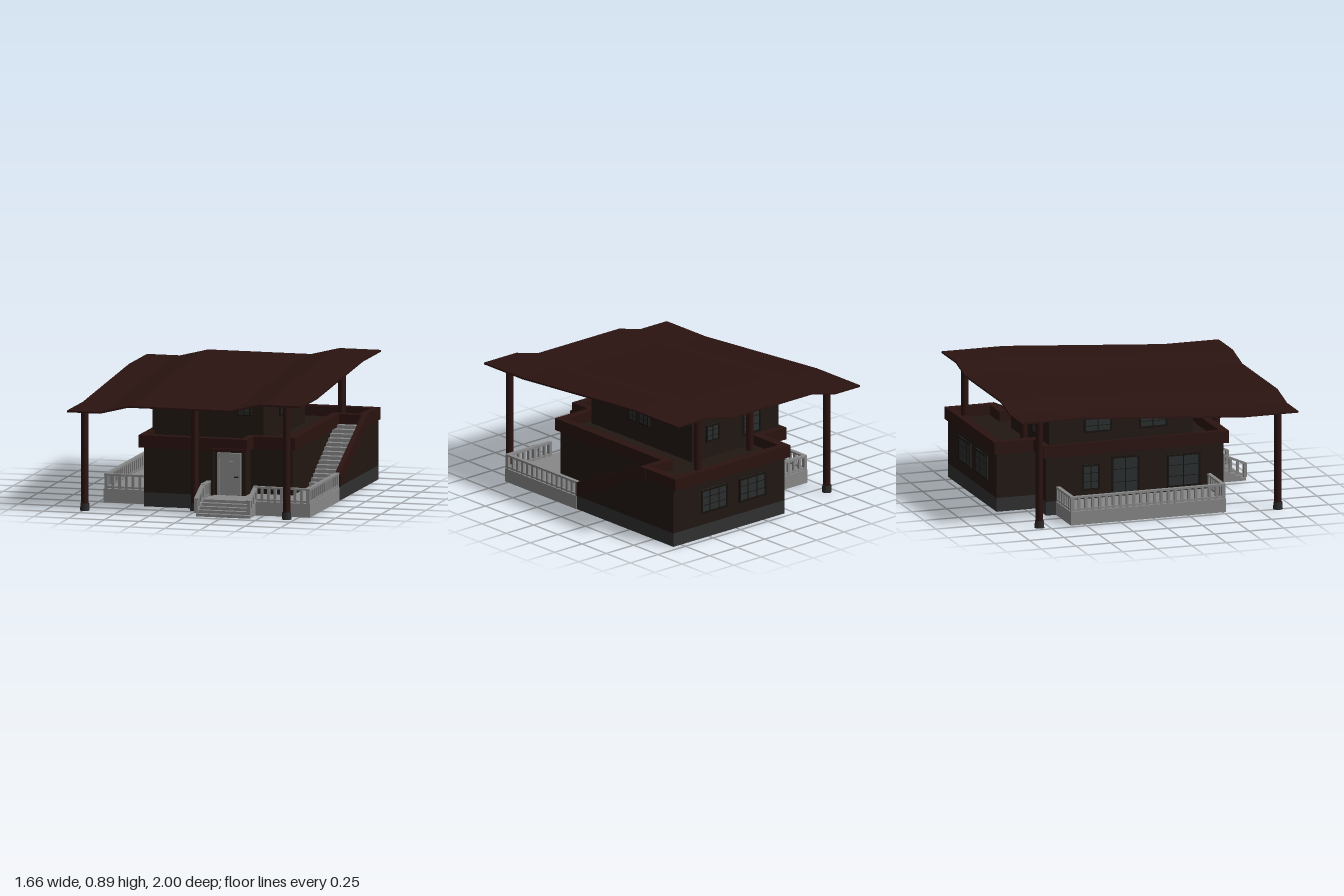
import * as THREE from 'three';

const mat = (color) => new THREE.MeshStandardMaterial({ color, flatShading: true });
const M = {
  timber: mat(0x2a1310), wall: mat(0x211712), plinth: mat(0x303030), stone: mat(0x888888),
  foot: mat(0x2a2a2a), frame: mat(0x16110d), glass: mat(0x2a2e2e), handle: mat(0x222222),
};

function add(parent, name, geo, material, x = 0, y = 0, z = 0) {
  const m = new THREE.Mesh(geo, material);
  m.name = name;
  m.position.set(x, y, z);
  parent.add(m);
  return m;
}

// Box given by its minimum and maximum corners
function block(parent, name, material, [x0, y0, z0], [x1, y1, z1]) {
  return add(parent, name, new THREE.BoxGeometry(x1 - x0, y1 - y0, z1 - z0), material,
    (x0 + x1) / 2, (y0 + y1) / 2, (z0 + z1) / 2);
}

// Upright prism over an (x, z) plan, optionally with a hole
function prism(parent, name, material, plan, y0, y1, hole) {
  const pts = (p) => p.map(([x, z]) => new THREE.Vector2(x, -z));
  const shape = new THREE.Shape(pts(plan));
  if (hole) shape.holes.push(new THREE.Path(pts(hole)));
  const geo = new THREE.ExtrudeGeometry(shape, { depth: y1 - y0, bevelEnabled: false });
  geo.rotateX(-Math.PI / 2);
  return add(parent, name, geo, material, 0, y0, 0);
}

// Plate with a (z, y) outline, spanning x0..x1
function sidePlate(parent, name, material, outline, x0, x1) {
  const shape = new THREE.Shape(outline.map(([z, y]) => new THREE.Vector2(-z, y)));
  const geo = new THREE.ExtrudeGeometry(shape, { depth: x1 - x0, bevelEnabled: false });
  geo.rotateY(Math.PI / 2);
  return add(parent, name, geo, material, x0, 0, 0);
}

// Roof underside: folds across x plus a slope along z
const RX = [-0.835, -0.6, -0.4, 0.33, 0.53, 0.825], RXY = [0, 0, 0.05, 0.05, 0.1, 0.1];
const RZ = [-1, -0.55, 0.6, 1], RZY = [0.085, 0.085, 0, 0];
function lerpTable(xs, ys, v) {
  let i = 0;
  while (i < xs.length - 2 && v > xs[i + 1]) i++;
  return ys[i] + ((ys[i + 1] - ys[i]) * (v - xs[i])) / (xs[i + 1] - xs[i]);
}
const roofY = (x, z) => 0.69 + lerpTable(RX, RXY, x) + lerpTable(RZ, RZY, z);

function makeRoof(parent) {
  const geo = new THREE.BoxGeometry(5, 0.012, 3, 5, 1, 3);
  const p = geo.attributes.position;
  for (let i = 0; i < p.count; i++) {
    const x = RX[Math.round(p.getX(i) + 2.5)], z = RZ[Math.round(p.getZ(i) + 1.5)];
    p.setXYZ(i, x, roofY(x, z) + (p.getY(i) > 0 ? 0.012 : 0), z);
  }
  geo.computeVertexNormals();
  add(parent, 'roof', geo, M.timber);
}

// Round column from y0 up to the roof; ground columns get a foot
function column(parent, x, z, y0) {
  const h = roofY(x, z) + 0.005 - y0;
  const post = add(parent, 'column', new THREE.CylinderGeometry(0.026, 0.026, h, 20), M.timber.clone(), x, y0 + h / 2, z);
  post.material.flatShading = false;
  if (y0 === 0) add(parent, 'columnFoot', new THREE.CylinderGeometry(0.031, 0.034, 0.05, 12), M.foot, x, 0.025, z);
}

// Balustrade between two floor points, level or sloping
function railing(parent, a, b) {
  const g = new THREE.Group();
  g.name = 'railing';
  parent.add(g);
  const A = new THREE.Vector3(...a), B = new THREE.Vector3(...b), len = A.distanceTo(B);
  for (const [y, w, h] of [[0.097, 0.028, 0.014], [0.012, 0.022, 0.012]]) {
    const bar = add(g, 'rail', new THREE.BoxGeometry(w, h, len + 0.02), M.stone);
    bar.position.copy(A).lerp(B, 0.5);
    bar.position.y += y;
    const target = B.clone();
    target.y += y;
    bar.lookAt(target);
  }
  const n = Math.max(2, Math.round(len / 0.05));
  for (let i = 0; i <= n; i++) {
    const p = A.clone().lerp(B, i / n), w = i % n === 0 ? 0.024 : 0.018;
    add(g, 'baluster', new THREE.BoxGeometry(w, 0.095, w), M.stone, p.x, p.y + 0.0475, p.z);
  }
}

// Framed window, built facing +z and then turned
function windowUnit(parent, x, y, z, w, h, turn, cols = 2, rows = 3) {
  const g = new THREE.Group();
  g.name = 'window';
  g.position.set(x, y, z);
  g.rotation.y = turn;
  parent.add(g);
  add(g, 'pane', new THREE.BoxGeometry(w, h, 0.008), M.glass);
  const t = 0.012;
  for (const s of [-1, 1]) {
    add(g, 'frameSide', new THREE.BoxGeometry(t, h, 0.02), M.frame, (s * (w - t)) / 2, 0, 0);
    add(g, 'frameEdge', new THREE.BoxGeometry(w, t, 0.02), M.frame, 0, (s * (h - t)) / 2, 0);
  }
  for (let i = 1; i < cols; i++) add(g, 'mullion', new THREE.BoxGeometry(0.006, h, 0.014), M.frame, -w / 2 + (w * i) / cols, 0, 0);
  for (let i = 1; i < rows; i++) add(g, 'glazingBar', new THREE.BoxGeometry(w, 0.004, 0.012), M.frame, 0, -h / 2 + (h * i) / rows, 0);
}

export function createModel() {
  const house = new THREE.Group();
  house.name = 'house';
  const back = [[0.82, -0.955], [-0.19, -0.955], [-0.19, -0.67], [-0.4, -0.67]];
  const front = [[-0.4, 0.61], [0.09, 0.61], [0.09, 0.57], [0.31, 0.57], [0.31, 0.45], [0.61, 0.45]];

  // Plinth, ground floor (with open stairwell), upper floor
  prism(house, 'plinth', M.plinth, [...front, [0.61, 0.04], [0.82, 0.04], ...back], 0, 0.097);
  prism(house, 'groundFloorWalls', M.wall, [...front, [0.61, -0.65], [0.82, -0.65], ...back], 0.097, 0.425);
  block(house, 'upperFloorWalls', M.wall, [-0.4, 0.42, -0.65], [0.385, 0.755, 0.39]);

  // Parapet band around the balcony
  prism(house, 'parapet', M.timber,
    [[-0.43, 0.64], [0.34, 0.64], [0.34, 0.48], [0.635, 0.48], [0.635, -0.62], [0.825, -0.62],
      [0.825, -0.98], [-0.22, -0.98], [-0.22, -0.7], [-0.43, -0.7]], 0.41, 0.495,
    [[-0.385, 0.58], [0.29, 0.58], [0.29, 0.42], [0.575, 0.42], [0.575, -0.67], [0.77, -0.67],
      [0.77, -0.92], [-0.16, -0.92], [-0.16, -0.64], [-0.385, -0.64]]);

  // Outer staircase with its sloping side wall
  const steps = 14, run = 0.66 / steps;
  for (let i = 0; i < steps; i++) {
    const z = 0.04 - i * run;
    const top = 0.097 + ((i + 1) * 0.328) / steps;
    block(house, 'stair', M.stone, [0.61, top - 0.03, z - run - 0.01], [0.805, top, z]);
  }
  sidePlate(house, 'stairUnderside', M.wall, [[0.03, 0.097], [-0.65, 0.097], [-0.65, 0.4]], 0.61, 0.8);
  sidePlate(house, 'stairSideWall', M.wall, [[0.04, 0.097], [-0.67, 0.097], [-0.67, 0.42], [-0.62, 0.42]], 0.795, 0.82);
  sidePlate(house, 'stairStringer', M.timber, [[0.035, 0.1], [0.035, 0.2], [-0.62, 0.495], [-0.67, 0.495], [-0.67, 0.41], [-0.62, 0.41]], 0.795, 0.83);

  // Terraces and entrance steps
  block(house, 'sideTerrace', M.stone, [-0.71, 0, -0.6], [-0.4, 0.095, 0.52]);
  prism(house, 'frontTerrace', M.stone, [[0.06, 0.78], [0.825, 0.78], [0.825, 0.04], [0.61, 0.04], [0.61, 0.45], [0.31, 0.45], [0.31, 0.57], [0.06, 0.57]], 0, 0.095);
  for (let i = 0; i < 4; i++) {
    block(house, 'entranceStep', M.stone, [0.06, 0, 0.77], [0.44, 0.076 - i * 0.019, 0.82 + i * 0.038]);
  }
  const f = 0.095;
  railing(house, [-0.4, f, -0.585], [-0.695, f, -0.585]);
  railing(house, [-0.695, f, -0.585], [-0.695, f, 0.505]);
  railing(house, [-0.695, f, 0.505], [-0.41, f, 0.505]);
  railing(house, [0.435, f, 0.765], [0.81, f, 0.765]);
  railing(house, [0.81, f, 0.765], [0.81, f, 0.05]);
  for (const x of [0.062, 0.435]) {
    railing(house, [x, f, 0.765], [x, 0.025, 0.925]);
  }
  railing(house, [0.062, f, 0.62], [0.062, f, 0.765]);

  // Front door
  const door = new THREE.Group();
  door.name = 'frontDoor';
  house.add(door);
  block(door, 'doorLeaf', M.stone, [0.125, 0.097, 0.565], [0.27, 0.38, 0.58]);
  block(door, 'doorFrameTop', M.stone, [0.115, 0.35, 0.565], [0.28, 0.39, 0.592]);
  for (const x of [0.115, 0.266]) block(door, 'doorFrameSide', M.stone, [x, 0.097, 0.565], [x + 0.014, 0.39, 0.592]);
  block(door, 'doorPanel', M.stone, [0.145, 0.12, 0.57], [0.25, 0.33, 0.587]);
  block(door, 'doorHandle', M.handle, [0.235, 0.222, 0.585], [0.265, 0.23, 0.598]);
  block(house, 'doorCanopy', M.timber, [0.09, 0.41, 0.56], [0.34, 0.43, 0.66]);

  // Windows on each side
  windowUnit(house, 0.25, 0.66, 0.392, 0.1, 0.085, 0);
  for (const z of [-0.05, -0.16]) windowUnit(house, 0.387, 0.62, z, 0.1, 0.12, Math.PI / 2);
  for (const x of [0.455, 0.108]) windowUnit(house, x, 0.265, -0.957, 0.24, 0.17, Math.PI, 3);
  windowUnit(house, 0.2, 0.6, -0.652, 0.12, 0.12, Math.PI);
  windowUnit(house, -0.15, 0.6, -0.652, 0.16, 0.18, Math.PI);
  for (const [z, w, y, h] of [[-0.35, 0.13, 0.245, 0.18], [-0.1, 0.2, 0.24, 0.27], [0.32, 0.24, 0.24, 0.23], [-0.3, 0.2, 0.63, 0.14], [0.1, 0.2, 0.63, 0.14]]) {
    windowUnit(house, -0.402, y, z, w, h, -Math.PI / 2);
  }

  // Columns and roof
  for (const [x, z, y] of [[-0.74, 0.885, 0], [0.69, 0.885, 0], [-0.015, 0.69, 0], [-0.69, -0.82, 0], [0.57, -0.92, 0.42], [-0.08, -0.72, 0.42]]) {
    column(house, x, z, y);
  }
  makeRoof(house);
  return house;
}
